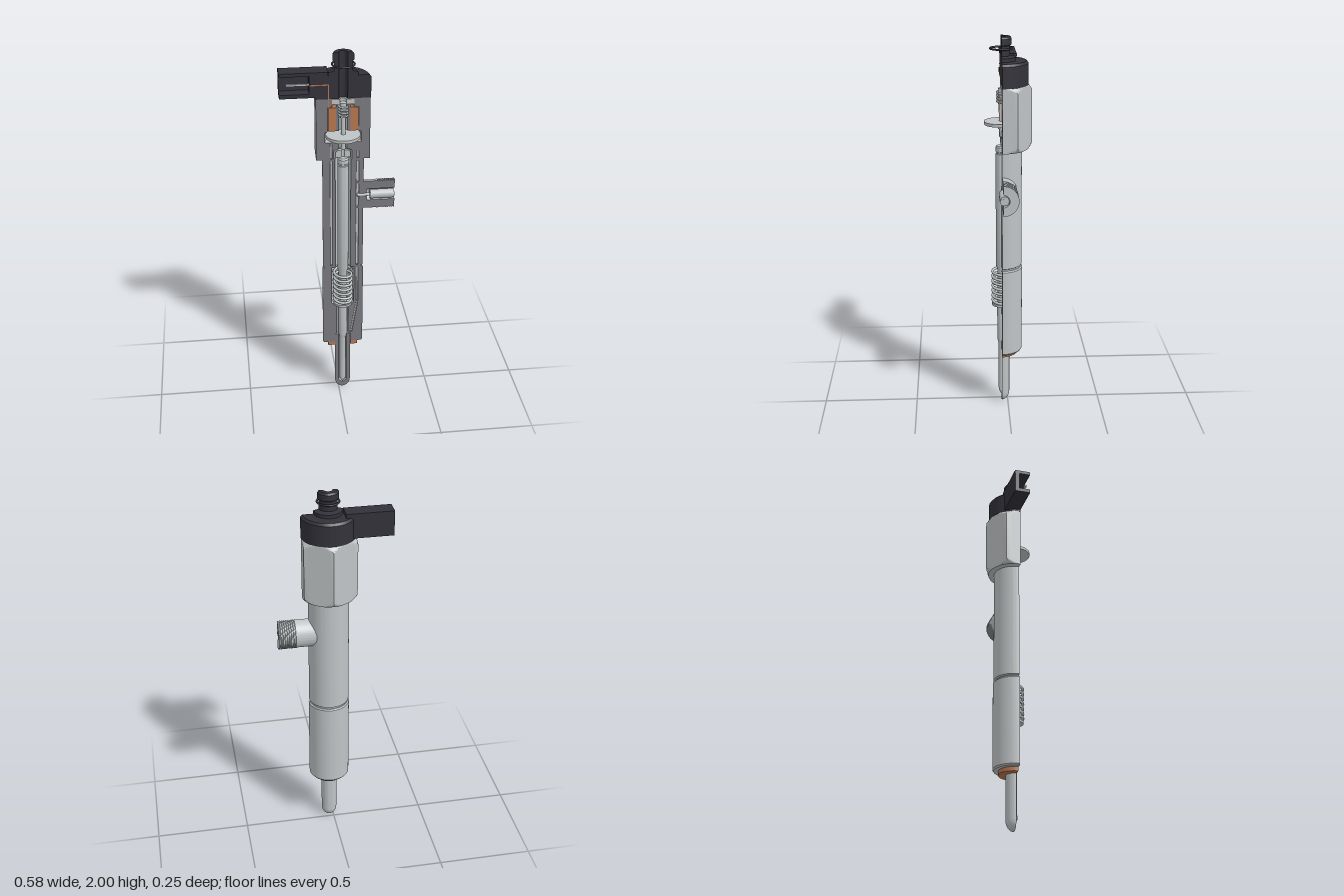
import * as THREE from 'three';
import { toCreasedNormals } from 'three/addons/utils/BufferGeometryUtils.js';

const material = (name, color) => {
  const m = new THREE.MeshStandardMaterial({ color, side: THREE.DoubleSide });
  m.name = name;
  return m;
};

export function createModel() {
  const steel = material('light steel', 0xc0c4c6);
  const section = material('sectioned steel', 0x7a7a80);
  const black = material('black plastic', 0x33323a);
  const copper = material('copper', 0xb87850);

  const model = new THREE.Group();
  model.name = 'cutawayInjector';
  // All parts share one vertical axis lying in the cut plane
  const axis = new THREE.Group();
  axis.name = 'assembly';
  axis.position.set(0.022, 0, 0.033);
  model.add(axis);

  const add = (name, geo, mat, x = 0, y = 0, z = 0, parent = axis) => {
    const m = new THREE.Mesh(geo, mat);
    m.name = name;
    m.position.set(x, y, z);
    parent.add(m);
    return m;
  };
  const vec = (pts) => pts.map(([a, b]) => new THREE.Vector2(a, b));
  const box = (name, x0, x1, y0, y1, z0, z1, mat) =>
    add(name, new THREE.BoxGeometry(x1 - x0, y1 - y0, z1 - z0), mat, (x0 + x1) / 2, (y0 + y1) / 2, (z0 + z1) / 2);

  // Outline of a straight drilling between two points of the cut plane
  const slot = ([ax, ay, bx, by, r]) => {
    const l = Math.hypot(bx - ax, by - ay), nx = -(by - ay) / l * r, ny = (bx - ax) / l * r;
    return new THREE.Path(vec([[ax + nx, ay + ny], [bx + nx, by + ny], [bx - nx, by - ny], [ax - nx, ay - ny]]));
  };

  // Half-revolved solid: closed profile (outer side upward), flat cut faces, optional drillings
  function half(name, pts, skin, cut, drillings = [], reshape) {
    const g = new THREE.Group();
    g.name = name;
    axis.add(g);
    const shell = new THREE.LatheGeometry(vec([...pts, pts[0]]), 48, Math.PI / 2, Math.PI);
    if (reshape) reshape(shell.attributes.position);
    add(name + 'Shell', toCreasedNormals(shell, 0.5), skin, 0, 0, 0, g);
    for (const s of [-1, 1]) {
      const shape = new THREE.Shape(vec(pts.map(([r, y]) => [s * r, y])));
      shape.holes = drillings.filter((d) => d[0] * s > 0).map(slot);
      add(name + 'CutFace', new THREE.ShapeGeometry(shape), cut, 0, 0, 0, g);
    }
    for (const [ax, ay, bx, by, r] of drillings) {
      const groove = new THREE.CylinderGeometry(r, r, Math.hypot(bx - ax, by - ay), 10, 1, true, Math.PI / 2, Math.PI);
      add('fuelDrilling', groove, steel, (ax + bx) / 2, (ay + by) / 2, 0, g).rotation.z = Math.atan2(ax - bx, by - ay);
    }
    return g;
  }
  // Complete turned part
  const turned = (name, pts, mat) =>
    add(name, toCreasedNormals(new THREE.LatheGeometry(vec(pts), 28), 0.5), mat);

  class Helix extends THREE.Curve {
    constructor(r, y0, y1, turns) { super(); Object.assign(this, { r, y0, y1, turns }); }
    getPoint(t, out = new THREE.Vector3()) {
      const a = t * this.turns * Math.PI * 2;
      return out.set(this.r * Math.cos(a), this.y0 + (this.y1 - this.y0) * t, this.r * Math.sin(a));
    }
  }
  const spring = (name, r, y0, y1, turns, wire) =>
    add(name, new THREE.TubeGeometry(new Helix(r, y0, y1, turns), turns * 24, wire, 7), steel);

  // Nozzle with rounded tip
  const dome = [];
  for (let i = 0; i <= 8; i++) {
    const a = i / 8 * Math.PI / 2;
    dome.push([0.042 * Math.sin(a), 0.055 * (1 - Math.cos(a))]);
  }
  half('nozzle', [...dome, [0.042, 0.36], [0.022, 0.36], [0.022, 0.045], [0, 0.025]], steel, section);
  half('sealingWasher', [[0.043, 0.288], [0.08, 0.288], [0.08, 0.31], [0.043, 0.31]], copper, copper);

  // Body sections
  half('lowerBody', [[0.043, 0.31], [0.103, 0.31], [0.109, 0.318], [0.109, 0.784], [0.103, 0.79], [0.06, 0.79],
    [0.06, 0.565], [0.03, 0.555], [0.03, 0.365], [0.043, 0.36]], steel, section,
  [[0.078, 0.786, 0.078, 0.575, 0.005], [0.077, 0.565, 0.046, 0.37, 0.005]]);
  half('upperBody', [[0.04, 0.79], [0.098, 0.79], [0.098, 0.798], [0.106, 0.803], [0.106, 1.43], [0.04, 1.43]],
    steel, section, [[-0.06, 0.805, -0.06, 1.42, 0.006], [0.075, 0.805, 0.075, 1.42, 0.007]]);

  // Hexagonal nut, its corners trimmed by a cone at both ends
  const hexagon = (pos) => {
    for (let i = 0; i < pos.count; i++) {
      const x = pos.getX(i), y = pos.getY(i), z = pos.getZ(i), r = Math.hypot(x, z);
      if (r < 0.13) continue;
      const step = Math.PI / 3, a = Math.atan2(z, x);
      const off = a - Math.round(a / step) * step;
      const cone = 0.138 + Math.min(y - 1.43, 1.76 - y) * 0.8;
      const k = Math.min(0.136 / Math.cos(off), cone) / r;
      pos.setXYZ(i, x * k, y, z * k);
    }
  };
  half('hexNut', [[0.045, 1.43], [0.136, 1.43], [0.136, 1.437], [0.136, 1.445], [0.136, 1.455], [0.136, 1.735],
    [0.136, 1.745], [0.136, 1.753], [0.136, 1.76], [0.055, 1.76], [0.055, 1.715], [0.078, 1.715], [0.078, 1.585],
    [0.092, 1.58], [0.092, 1.525], [0.02, 1.525], [0.02, 1.49], [0.045, 1.48]], steel, section,
  [[-0.06, 1.435, -0.06, 1.52, 0.005], [0.075, 1.435, 0.075, 1.475, 0.006]], hexagon);

  // Threaded inlet port, revolved about a sideways axis
  const thread = [];
  for (let i = 0; i < 8; i++) {
    const x = 0.174 + i * 0.011;
    thread.push([0.079, x], [0.079, x + 0.006], [0.074, x + 0.0075], [0.074, x + 0.0095]);
  }
  const port = half('inletPort', [[0, 0.087], [0.055, 0.085], [0.077, 0.066], [0.077, 0.17], ...thread,
    [0.079, 0.263], [0.079, 0.268], [0.032, 0.268], [0.032, 0.125], [0, 0.118]], steel, section);
  port.position.y = 1.222;
  port.rotation.z = -Math.PI / 2;
  const inlet = (name, r, x0, x1, z) => {
    add(name, new THREE.CylinderGeometry(r, r, x1 - x0, 20), steel, (x0 + x1) / 2, 1.222, z).rotation.z = Math.PI / 2;
  };
  inlet('inletFilter', 0.024, 0.14, 0.262, -0.005);
  inlet('inletFilterCore', 0.012, 0.138, 0.266, 0.005);
  inlet('inletPassage', 0.008, 0.072, 0.14, -0.002);

  // Needle, plunger rod and return spring
  turned('nozzleNeedle', [[0, 0.03], [0.016, 0.06], [0.016, 0.34], [0.023, 0.365], [0.023, 0.57], [0, 0.57]], steel);
  turned('springSeat', [[0, 0.565], [0.05, 0.565], [0.05, 0.577], [0, 0.577]], steel);
  turned('plungerRod', [[0, 0.577], [0.022, 0.577], [0.022, 0.77], [0.029, 0.79], [0.029, 1.40], [0.025, 1.403],
    [0.025, 1.41], [0.029, 1.413], [0.029, 1.435], [0.024, 1.442], [0, 1.442]], steel);
  spring('returnSpring', 0.047, 0.585, 0.775, 7, 0.0075);
  half('valveSeat', [[0.008, 1.442], [0.038, 1.442], [0.038, 1.47], [0.028, 1.48], [0.008, 1.48]], steel, steel);

  // Armature and solenoid
  turned('armatureStem', [[0, 1.49], [0.012, 1.49], [0.012, 1.66], [0.016, 1.66], [0.016, 1.74], [0, 1.74]], steel);
  turned('armatureDisc', [[0, 1.555], [0.088, 1.555], [0.088, 1.571], [0, 1.571]], steel);
  add('valveBall', new THREE.SphereGeometry(0.015, 16, 12), steel, 0, 1.54, 0.004);
  half('solenoidCoil', [[0.036, 1.587], [0.076, 1.587], [0.076, 1.713], [0.036, 1.713]], copper, copper);
  half('solenoidCore', [[0.022, 1.587], [0.036, 1.587], [0.036, 1.728], [0.022, 1.728]], steel, section);
  half('springStop', [[0.016, 1.73], [0.055, 1.73], [0.055, 1.757], [0.016, 1.757]], steel, steel);
  spring('armatureSpring', 0.022, 1.67, 1.73, 4, 0.005);

  // Plastic cap with return stub and seal ring
  half('plasticCap', [[0.022, 1.76], [0.138, 1.76], [0.138, 1.868], [0.128, 1.88], [0.073, 1.88], [0.073, 1.898],
    [0.055, 1.902], [0.046, 1.905], [0.046, 1.955], [0.053, 1.96], [0.053, 1.99], [0.046, 2], [0.022, 2]], black, black);
  add('sealRing', new THREE.TorusGeometry(0.055, 0.005, 10, 40), black, 0, 1.94).rotation.x = Math.PI / 2;

  // Hollow electrical connector arm
  box('connectorBase', -0.167, -0.074, 1.77, 1.9, -0.083, 0, black);
  box('connectorTopWall', -0.315, -0.167, 1.882, 1.9, -0.083, 0, black);
  box('connectorBottomWall', -0.315, -0.167, 1.77, 1.79, -0.083, 0, black);
  box('connectorBackWall', -0.315, -0.167, 1.79, 1.882, -0.083, -0.06, black);
  box('contactPin', -0.28, -0.167, 1.83, 1.84, -0.02, -0.008, steel);

  // Lead from the contact pin down to the coil
  box('coilLeadAcross', -0.167, -0.07, 1.832, 1.838, -0.003, 0.002, copper);
  box('coilLeadDown', -0.076, -0.07, 1.71, 1.838, -0.003, 0.002, copper);

  return model;
}
